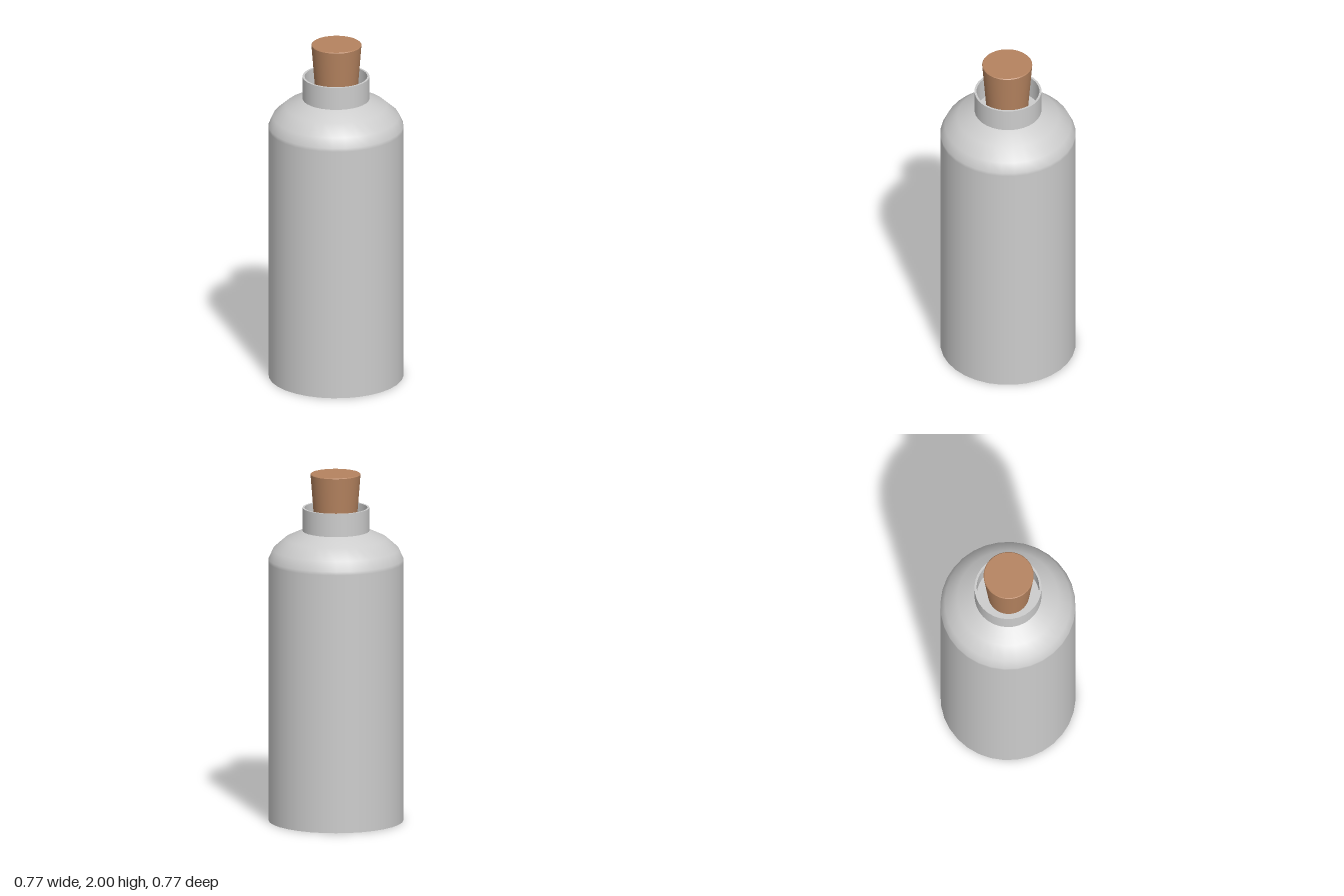
import * as THREE from 'three';

const glaze = new THREE.MeshStandardMaterial({ color: 0xcccccc });
glaze.name = 'light grey';
const corkBrown = new THREE.MeshStandardMaterial({ color: 0xb5835f });
corkBrown.name = 'cork brown';

// Turn one smooth run of [radius, height] points; separate runs keep edges sharp
function turned(name, material, profile, segments = 32) {
  const points = profile.map(([r, y]) => new THREE.Vector2(r, y));
  const mesh = new THREE.Mesh(new THREE.LatheGeometry(points, segments), material);
  mesh.name = name;
  return mesh;
}

export function createModel() {
  const model = new THREE.Group();
  model.name = 'corkedBottle';

  // Bottle: base, wall with rounded shoulder, then the open neck
  const bottle = new THREE.Group();
  bottle.name = 'bottle';
  bottle.add(
    turned('base', glaze, [[0, 0], [0.383, 0]]),
    turned('body', glaze, [[0.383, 0], [0.383, 1.49], [0.383, 1.51], [0.358, 1.565], [0.288, 1.627], [0.19, 1.672]]),
    turned('neckOuter', glaze, [[0.19, 1.67], [0.19, 1.805]]),
    turned('neckRim', glaze, [[0.19, 1.805], [0.178, 1.805]]),
    turned('neckInner', glaze, [[0.178, 1.805], [0.178, 1.67]]),
    turned('neckFloor', glaze, [[0.178, 1.67], [0, 1.67]]),
  );

  // Tapered stopper, sitting slightly forward in the neck
  const stopper = new THREE.Group();
  stopper.name = 'stopper';
  stopper.add(
    turned('stopperBottom', corkBrown, [[0, 1.68], [0.117, 1.68]], 48),
    turned('stopperSide', corkBrown, [[0.117, 1.68], [0.142, 1.996]], 48),
    turned('stopperEdge', corkBrown, [[0.142, 1.996], [0.138, 2]], 48),
    turned('stopperTop', corkBrown, [[0.138, 2], [0, 2]], 48),
  );
  stopper.position.z = 0.005;

  model.add(bottle, stopper);
  return model;
}
